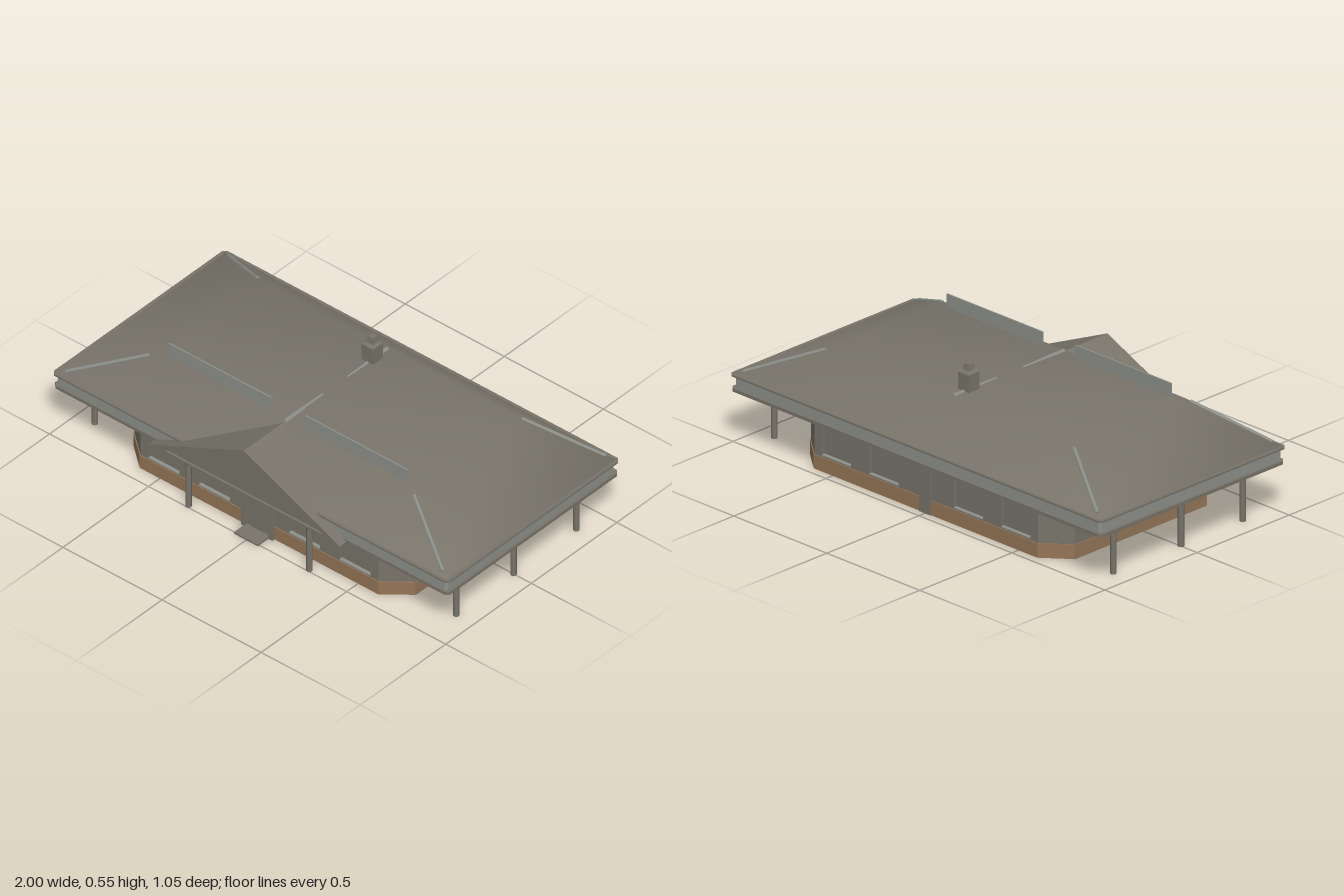
import * as THREE from 'three';

const mat = (name, color, side = THREE.FrontSide) => {
  const m = new THREE.MeshStandardMaterial({ color, side });
  m.name = name;
  return m;
};

export function createModel() {
  const root = new THREE.Group();
  root.name = 'pavilion';
  const stone = mat('warm grey', 0x78746a);
  const stoneBoth = mat('warm grey two-sided', 0x78746a, THREE.DoubleSide);
  const pale = mat('pale grey', 0x8e918a);
  const tan = mat('tan', 0x957557);

  const add = (name, geo, material, x = 0, y = 0, z = 0, parent = root) => {
    const m = new THREE.Mesh(geo, material);
    m.name = name;
    m.position.set(x, y, z);
    parent.add(m);
    return m;
  };
  // box from its minimum and maximum corners
  const box = (name, [x0, y0, z0], [x1, y1, z1], material, parent = root) =>
    add(name, new THREE.BoxGeometry(x1 - x0, y1 - y0, z1 - z0), material,
      (x0 + x1) / 2, (y0 + y1) / 2, (z0 + z1) / 2, parent);
  const polygon = (pts) => new THREE.Shape(pts.map((p) => new THREE.Vector2(...p)));
  const extrude = (shape, depth) =>
    new THREE.ExtrudeGeometry(shape, { depth, bevelEnabled: false });

  // horizontal slab with clipped corners
  const slab = (name, hx, zBack, zFront, c, y0, y1, material) => {
    const a = -zFront, b = -zBack;
    const g = extrude(polygon([
      [-hx + c, a], [hx - c, a], [hx, a + c], [hx, b - c],
      [hx - c, b], [-hx + c, b], [-hx, b - c], [-hx, a + c],
    ]), y1 - y0);
    g.rotateX(-Math.PI / 2);
    add(name, g, material, 0, y0, 0);
  };

  // eaves: pale fascia between two projecting trims
  slab('lowerEaveTrim', 0.997, -0.52, 0.485, 0.015, 0.22, 0.234, stone);
  slab('fascia', 0.985, -0.508, 0.478, 0.01, 0.234, 0.283, pale);
  slab('upperEaveTrim', 1, -0.523, 0.49, 0.015, 0.283, 0.291, stone);

  // smooth hipped roof with a flat top
  const eave = [[-0.985, 0.478], [0.985, 0.478], [0.985, -0.51], [-0.985, -0.51]];
  const crown = [[-0.65, 0.29], [0.65, 0.29], [0.65, -0.32], [-0.65, -0.32]];
  const roofGeo = new THREE.BufferGeometry();
  roofGeo.setAttribute('position', new THREE.Float32BufferAttribute([
    ...eave.flatMap(([x, z]) => [x, 0.291, z]),
    ...crown.flatMap(([x, z]) => [x, 0.445, z]),
  ], 3));
  const index = [4, 5, 6, 4, 6, 7];
  for (let i = 0; i < 4; i++) {
    const j = (i + 1) % 4;
    index.push(i, j, j + 4, i, j + 4, i + 4);
  }
  roofGeo.setIndex(index);
  roofGeo.computeVertexNormals();
  add('mainRoof', roofGeo, stone);

  // slim caps along the hips and the ridge
  const bar = (name, a, b, r0, r1) => {
    const p = new THREE.Vector3(...a), q = new THREE.Vector3(...b);
    const d = q.clone().sub(p);
    const m = add(name, new THREE.CylinderGeometry(r1, r0, d.length(), 6), pale);
    m.position.copy(p).add(q).multiplyScalar(0.5);
    m.quaternion.setFromUnitVectors(new THREE.Vector3(0, 1, 0), d.normalize());
  };
  eave.forEach(([x, z], i) => {
    const [cx, cz] = crown[i];
    const at = (t) => [x + (cx - x) * t, 0.288 + 0.154 * t, z + (cz - z) * t];
    bar('hipCap', at(0.1), at(0.95), 0.009, 0.009);
  });
  bar('frontRidgeCap', [0, 0.432, 0.285], [0, 0.442, 0.06], 0.02, 0.006);
  bar('backRidgeCap', [0, 0.432, -0.315], [0, 0.442, -0.08], 0.02, 0.006);

  // entrance gable: overhanging roof, recessed face and tie beam
  add('gableRoof', extrude(polygon([
    [-0.485, 0.22], [-0.44, 0.22], [0, 0.421], [0.44, 0.22],
    [0.485, 0.22], [0.485, 0.225], [0, 0.441], [-0.485, 0.225],
  ]), 0.233), stone, 0, 0, 0.29);
  add('gableFace', extrude(polygon([[-0.44, 0.221], [0.44, 0.221], [0, 0.424]]), 0.215),
    stone, 0, 0, 0.29);
  box('gableBeam', [-0.45, 0.219, 0.48], [0.45, 0.229, 0.515], stone);

  // long signboards standing on the roof
  for (const s of [-1, 1]) {
    add('roofBoard', new THREE.BoxGeometry(0.515, 0.11, 0.006), pale, s * 0.345, 0.447, 0.262);
  }

  // chimney with tapered shoulder and hollow pot
  box('chimneyStack', [-0.029, 0.42, -0.258], [0.029, 0.518, -0.2], stone);
  const frustum = (name, w0, w1, h, y) => {
    const g = new THREE.CylinderGeometry(w1 / Math.SQRT2, w0 / Math.SQRT2, h, 4, 1);
    g.rotateY(Math.PI / 4);
    add(name, g.toNonIndexed(), stone, 0, y, -0.229).geometry.computeVertexNormals();
  };
  frustum('chimneyShoulder', 0.058, 0.036, 0.01, 0.523);
  frustum('chimneyPot', 0.034, 0.026, 0.027, 0.541);

  // one straight wall between two plan points, with window openings [u0, u1]
  const wallHeight = 0.222, y0 = 0.066, y1 = 0.185;
  const wall = (name, [ax, az], [bx, bz], windows = []) => {
    const g = new THREE.Group();
    g.name = name;
    g.position.set(ax, 0, az);
    g.rotation.y = Math.atan2(az - bz, bx - ax);
    root.add(g);
    const L = Math.hypot(bx - ax, bz - az);
    const shape = polygon([[0, 0], [L, 0], [L, wallHeight], [0, wallHeight]]);
    for (const [u, v] of windows) {
      shape.holes.push(new THREE.Path([[u, y0], [v, y0], [v, y1], [u, y1]]
        .map((p) => new THREE.Vector2(...p))));
      box('windowPane', [u - 0.005, y0 - 0.005, -0.019], [v + 0.005, y1 + 0.005, -0.013], stone, g);
      box('windowSill', [u, y0, -0.013], [v, y0 + 0.004, 0.003], pale, g);
    }
    add('wallPanel', extrude(shape, 0.015), stoneBoth, 0, 0, -0.015, g);
    box('plinthBand', [0, 0, -0.002], [L, 0.06, 0.004], tan, g);
    box('upperBand', [0, 0.188, -0.002], [L, wallHeight, 0.002], pale, g);
  };
  const X = 0.71, C = 0.6, F = 0.43, B = -0.46, SF = 0.34, SB = -0.37;
  const longWindows = [[-0.56, -0.405], [-0.305, -0.15], [0.15, 0.305], [0.405, 0.56]]
    .map((w) => w.map((x) => x + C));
  wall('frontWall', [-C, F], [C, F], longWindows);
  wall('backWall', [C, B], [-C, B], longWindows);
  wall('leftWall', [X, SF], [X, SB], [[0.1, 0.255], [0.405, 0.51]]);
  wall('rightWall', [-X, SB], [-X, SF], [[0.2, 0.305], [0.455, 0.61]]);
  wall('frontLeftCorner', [C, F], [X, SF]);
  wall('backLeftCorner', [X, SB], [C, B]);
  wall('backRightCorner', [-C, B], [-X, SB]);
  wall('frontRightCorner', [-X, SF], [-C, F]);
  box('floor', [-C, 0.001, B], [C, 0.006, F], stone);

  // front door in a stepped frame, with a doorstep
  for (const s of [-1, 1]) {
    add('doorJamb', new THREE.BoxGeometry(0.022, 0.21, 0.03), stone, s * 0.068, 0.105, 0.432);
  }
  box('doorHead', [-0.079, 0.205, 0.417], [0.079, 0.222, 0.447], stone);
  box('doorSurround', [-0.058, 0, 0.42], [0.058, 0.206, 0.436], stone);
  box('doorLeaf', [-0.03, 0.01, 0.43], [0.03, 0.185, 0.44], stone);
  box('doorstep', [-0.06, 0.001, 0.43], [0.06, 0.009, 0.51], stone);
  // back pilaster
  box('backPilaster', [-0.03, 0, -0.468], [0.03, 0.222, -0.45], stone);

  // veranda columns with small capitals
  const shaft = new THREE.CylinderGeometry(0.0125, 0.0125, 0.22, 8);
  const capital = new THREE.CylinderGeometry(0.017, 0.0125, 0.015, 8);
  for (const s of [-1, 1]) {
    for (const [x, z] of [[0.305, 0.492], [0.912, 0.337], [0.912, 0.002], [0.912, -0.365]]) {
      add('columnShaft', shaft, stone, s * x, 0.11, z);
      add('columnCapital', capital, stone, s * x, 0.211, z);
    }
  }
  return root;
}
